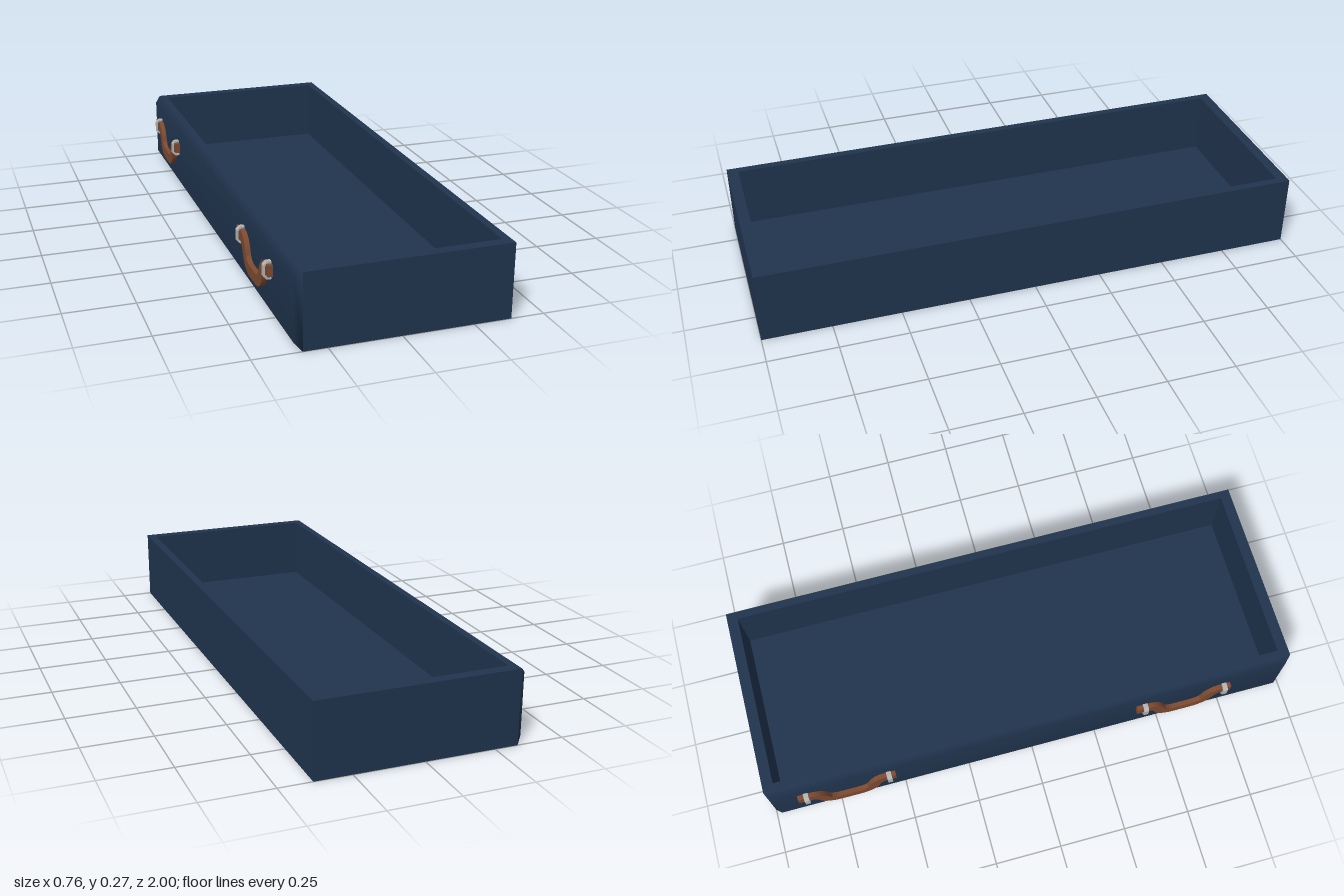
import * as THREE from 'three';
import { toCreasedNormals } from 'three/addons/utils/BufferGeometryUtils.js';

const H = 0.268, BACK = 0.382, FRONT = -0.333, FACE = -0.355;
const IN_X0 = -0.305, IN_X1 = 0.353, IN_Z = 0.96, FLOOR = 0.033;

const navy = new THREE.MeshStandardMaterial({ color: 0x20344e });
const leather = new THREE.MeshStandardMaterial({ color: 0x7d4a30 });
const metal = new THREE.MeshStandardMaterial({ color: 0xb4b4b4 });

function part(name, geometry, material) {
  const mesh = new THREE.Mesh(geometry, material);
  mesh.name = name;
  return mesh;
}

function points(list) {
  return list.map(([x, y]) => new THREE.Vector2(x, y));
}

function rect(x0, y0, x1, y1) {
  return points([[x0, y0], [x1, y0], [x1, y1], [x0, y1]]);
}

// Rectangle with cut corners, used for the metal loops
function cutRect(x0, y0, x1, y1, c) {
  return points([
    [x0 + c, y0], [x1 - c, y0], [x1, y0 + c], [x1, y1 - c],
    [x1 - c, y1], [x0 + c, y1], [x0, y1 - c], [x0, y0 + c],
  ]);
}

// Drawer walls: one rectangular frame standing on the ground
function wallsGeometry() {
  const shape = new THREE.Shape(rect(FRONT, -1, BACK, 1));
  shape.holes.push(new THREE.Path(rect(IN_X0, -IN_Z, IN_X1, IN_Z)));
  return new THREE.ExtrudeGeometry(shape, { depth: H, bevelEnabled: false }).rotateX(-Math.PI / 2);
}

// Bevelled face of the drawer, on the -x side
function panelGeometry() {
  const b = 0.022;
  const loop = (x, inset) => [
    x, inset, -1 + inset, x, inset, 1 - inset,
    x, H - inset, 1 - inset, x, H - inset, -1 + inset,
  ];
  const index = [4, 5, 6, 4, 6, 7];
  for (let i = 0; i < 4; i++) {
    const j = (i + 1) % 4;
    index.push(i, j, j + 4, i, j + 4, i + 4);
  }
  const g = new THREE.BufferGeometry();
  g.setAttribute('position', new THREE.Float32BufferAttribute([...loop(FRONT, 0), ...loop(FACE, b)], 3));
  g.setIndex(index);
  g.computeVertexNormals();
  return g;
}

// Strap: a ribbon that dips between its two loops, in the z-y plane
function strapGeometry() {
  const half = 0.02, steps = 40;
  const path = new THREE.CatmullRomCurve3([
    [-0.187, 0.175], [-0.155, 0.175], [-0.125, 0.172], [-0.1, 0.145], [-0.085, 0.11], [-0.055, 0.09],
    [0, 0.087],
    [0.055, 0.09], [0.085, 0.11], [0.1, 0.145], [0.125, 0.172], [0.155, 0.175], [0.18, 0.175],
  ].map(([z, y]) => new THREE.Vector3(z, y, 0)));
  const lower = [], upper = [];
  for (let i = 0; i <= steps; i++) {
    const p = path.getPointAt(i / steps), t = path.getTangentAt(i / steps);
    lower.push(new THREE.Vector2(p.x + t.y * half, p.y - t.x * half));
    upper.unshift(new THREE.Vector2(p.x - t.y * half, p.y + t.x * half));
  }
  const shape = new THREE.Shape([...lower, ...upper]);
  const g = new THREE.ExtrudeGeometry(shape, { depth: 0.018, bevelEnabled: false });
  return toCreasedNormals(g.rotateY(-Math.PI / 2), 0.7);
}

// Metal loop holding one end of the strap
function loopGeometry() {
  const shape = new THREE.Shape(cutRect(-0.383, 0.14, -0.342, 0.203, 0.012));
  shape.holes.push(new THREE.Path(cutRect(-0.377, 0.147, -0.348, 0.196, 0.009)));
  const g = new THREE.ExtrudeGeometry(shape, { depth: 0.018, bevelEnabled: false });
  return g.translate(0, 0, -0.009);
}

export function createModel() {
  const model = new THREE.Group();
  model.name = 'drawer';

  // Box
  model.add(part('walls', wallsGeometry(), navy));
  const floor = part('floor', new THREE.BoxGeometry(IN_X1 - IN_X0, FLOOR, IN_Z * 2), navy);
  floor.position.set((IN_X0 + IN_X1) / 2, FLOOR / 2, 0);
  model.add(floor);
  model.add(part('facePanel', panelGeometry(), navy));

  // Two pull handles on the face
  const strap = strapGeometry(), loop = loopGeometry();
  for (const z of [-0.707, 0.588]) {
    const handle = new THREE.Group();
    handle.name = 'handle';
    handle.position.z = z;
    const band = part('strap', strap, leather);
    band.position.x = FACE;
    handle.add(band);
    for (const side of [-1, 1]) {
      const ring = part('strapLoop', loop, metal);
      ring.position.z = side * 0.155;
      handle.add(ring);
    }
    model.add(handle);
  }
  return model;
}
